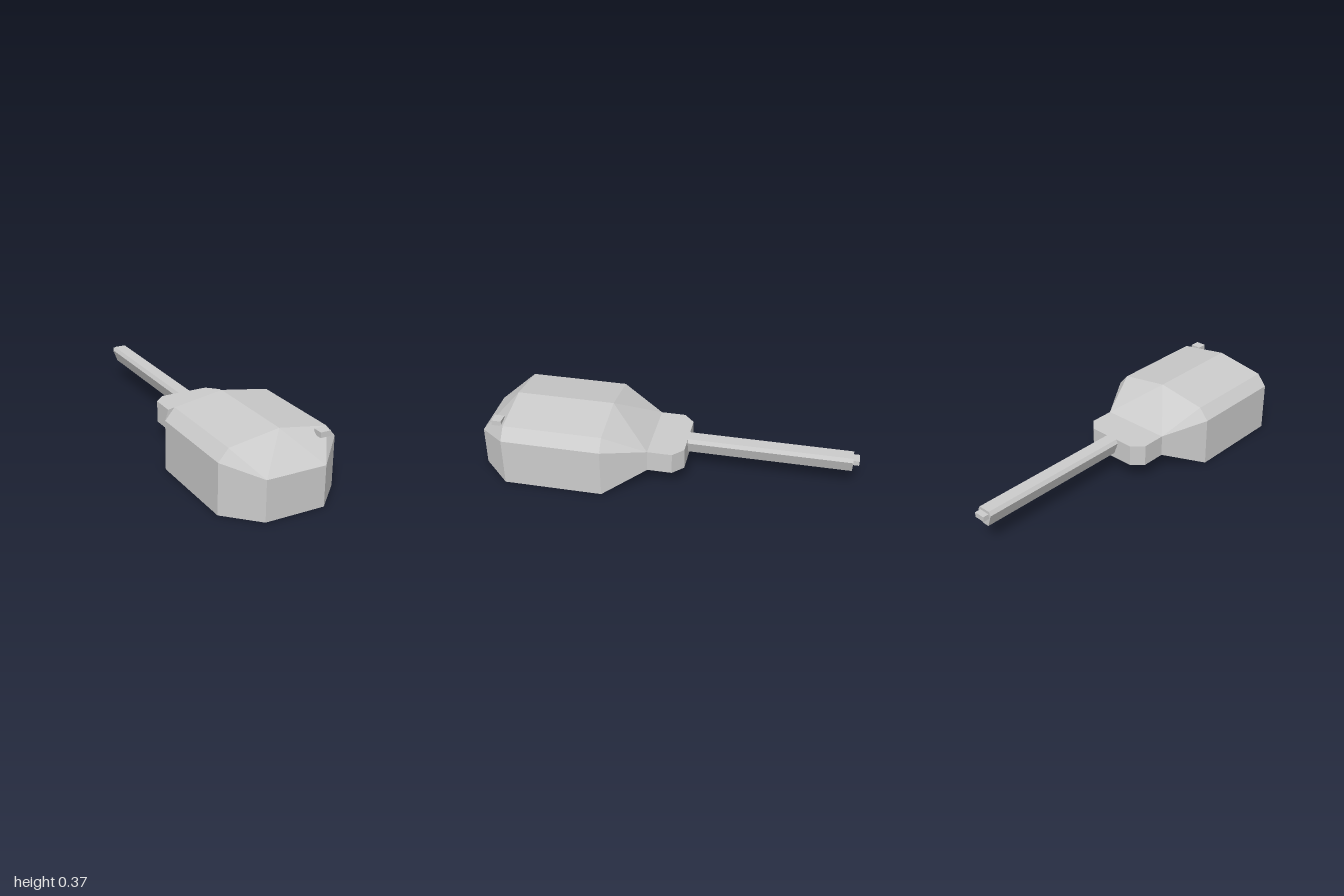
import * as THREE from 'three';
import { ConvexGeometry } from 'three/addons/geometries/ConvexGeometry.js';

export function createModel() {
  const group = new THREE.Group();
  const material = new THREE.MeshStandardMaterial({ color: 0xcccccc, flatShading: true });

  const add = (name, geometry, x = 0, y = 0, z = 0) => {
    const mesh = new THREE.Mesh(geometry, material);
    mesh.name = name;
    mesh.position.set(x, y, z);
    group.add(mesh);
  };

  // Mirrors a half outline across x = 0 and extrudes it along z
  const prism = (half, depth) => {
    const mirrored = half.map(([x, y]) => [-x, y]).reverse();
    const outline = [...half, ...mirrored].map(([x, y]) => new THREE.Vector2(x, y));
    return new THREE.ExtrudeGeometry(new THREE.Shape(outline), { depth, bevelEnabled: false });
  };

  // Faceted body: half sections along z, joined as a convex shell
  const middle = [[0.317, 0], [0.317, 0.265], [0.265, 0.327], [0, 0.37]];
  const sections = [
    [1, [[0.159, 0], [0.159, 0.213]]],
    [0.842, middle],
    [0.312, middle],
    [0.09, [[0.19, 0.1], [0.19, 0.216]]],
  ];
  const points = [];
  for (const [z, half] of sections) {
    for (const [x, y] of half) {
      points.push(new THREE.Vector3(x, y, z));
      if (x > 0) points.push(new THREE.Vector3(-x, y, z));
    }
  }
  add('body', new ConvexGeometry(points));

  // Chamfered collar behind the body (outline drawn in plan, then laid flat)
  const collar = prism([[0.19, -0.09], [0.19, 0.042], [0.132, 0.098]], 0.116);
  collar.rotateX(-Math.PI / 2);
  add('collar', collar, 0, 0.1, 0);

  // Long six-sided shaft and its tip
  add('shaft', prism([[0.02, 0.127], [0.045, 0.196], [0.033, 0.216]], 0.88), 0, 0, -0.968);
  add('shaftTip', new THREE.BoxGeometry(0.06, 0.027, 0.04), 0, 0.187, -0.98);

  // Small block on the front slope
  add('sight', new THREE.BoxGeometry(0.057, 0.028, 0.053), 0.211, 0.322, 0.887);

  return group;
}
